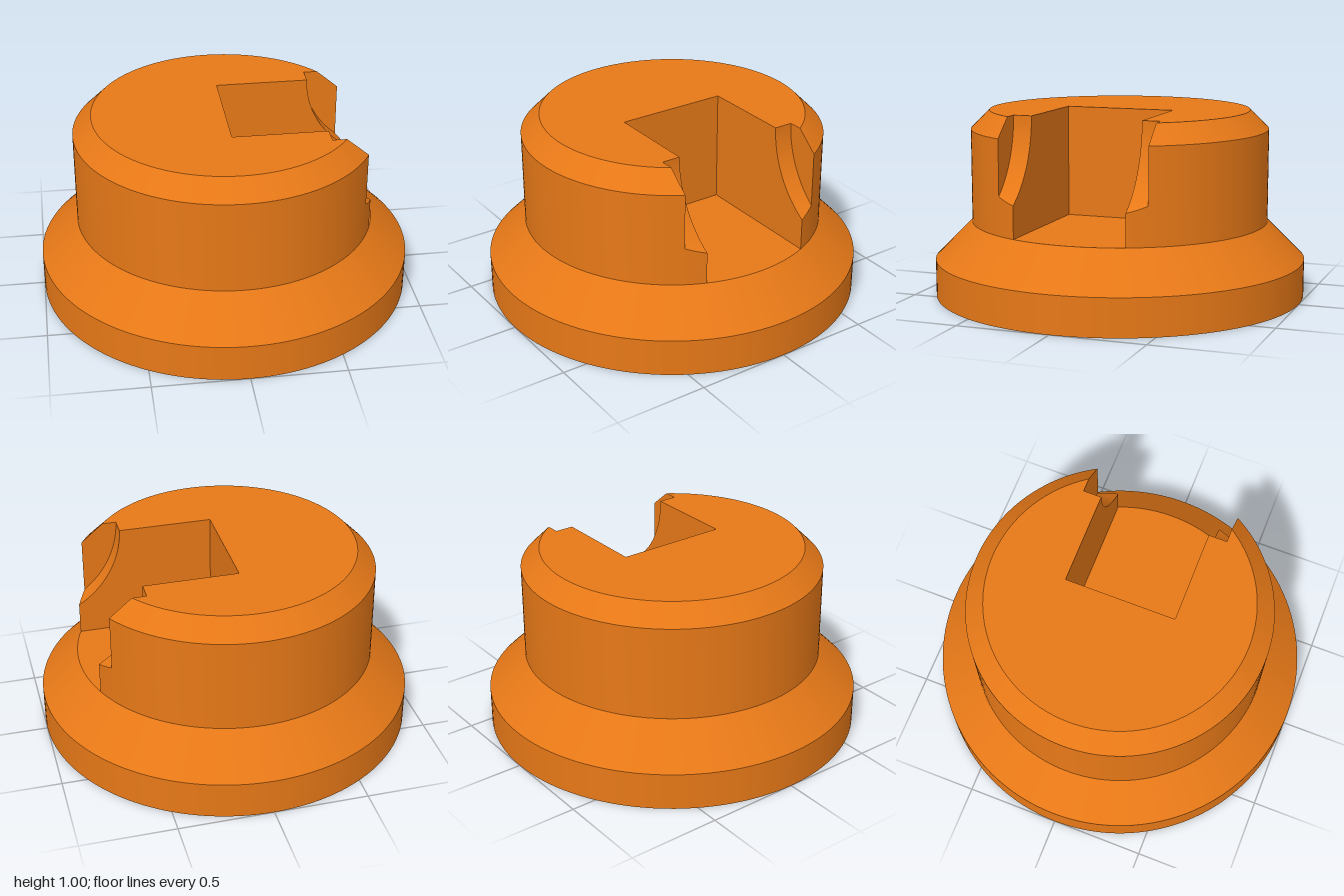
import * as THREE from 'three';

const R = 0.8, TOP_R = 0.7, FLOOR = 0.4, SHOULDER = 0.9, TOP = 1;
const SLOT = 0.3, NOTCH = 0.4, NOTCH_R = 0.5; // half widths, notch arc radius (centred on x = 1, y = 1)
const SEG = 64, CHAMFER_ROWS = 6;

const rimX = (z, r = R) => Math.sqrt(r * r - z * z);
const arcAngle = (x) => Math.PI + Math.acos((1 - x) / NOTCH_R);
const arcY = (x) => 1 + NOTCH_R * Math.sin(arcAngle(x));
const lerp = THREE.MathUtils.lerp;

// Surface from fn(u, v) -> [x, y, z]; its front faces along du x dv
function grid(nu, nv, fn) {
  const pos = [], index = [];
  for (let i = 0; i <= nu; i++) {
    for (let j = 0; j <= nv; j++) {
      pos.push(...fn(i / nu, j / nv));
      if (i < nu && j < nv) {
        const a = i * (nv + 1) + j, b = a + nv + 1;
        index.push(a, b, b + 1, a, b + 1, a + 1);
      }
    }
  }
  const g = new THREE.BufferGeometry();
  g.setAttribute('position', new THREE.Float32BufferAttribute(pos, 3));
  g.setIndex(index);
  g.computeVertexNormals();
  return g;
}

// Copy mirrored in z, with the triangle order turned back outward
function mirrorZ(geometry) {
  const g = geometry.clone().scale(1, 1, -1);
  const idx = Array.from(g.index.array);
  for (let i = 0; i < idx.length; i += 3) [idx[i + 1], idx[i + 2]] = [idx[i + 2], idx[i + 1]];
  g.setIndex(idx);
  return g;
}

// Round wall between two heights, left open across the notch width on +x
function openWall(r0, y0, r1, y1, rows) {
  return grid(rows, SEG * 2, (u, v) => {
    const r = lerp(r0, r1, u), a = Math.asin(NOTCH / r);
    const t = lerp(a, 2 * Math.PI - a, v);
    return [r * Math.cos(t), lerp(y0, y1, u), r * Math.sin(t)];
  });
}

export function createModel() {
  const model = new THREE.Group();
  model.name = 'slottedKnob';
  const material = new THREE.MeshStandardMaterial({ color: 0xe67817 });
  const add = (name, geometry, parent = model) => {
    const mesh = new THREE.Mesh(geometry, material);
    mesh.name = name;
    parent.add(mesh);
  };

  // Flange: one lathe per profile segment keeps the edges sharp
  const flange = new THREE.Group();
  flange.name = 'flange';
  model.add(flange);
  const profile = [[0, 0], [1, 0], [1, 0.2], [R, FLOOR], [0, FLOOR]].map((p) => new THREE.Vector2(...p));
  ['flangeBottom', 'flangeRim', 'flangeSlope', 'slotFloor'].forEach((name, i) =>
    add(name, new THREE.LatheGeometry(profile.slice(i, i + 2), SEG * 2), flange));

  // Upper body wall and chamfer
  add('bodyWall', openWall(R, FLOOR, R, SHOULDER, 1));
  add('bodyChamfer', openWall(R, SHOULDER, TOP_R, TOP, CHAMFER_ROWS));

  // Top face with the stepped slot cut out
  const a = Math.asin(NOTCH / TOP_R);
  const top = new THREE.Shape();
  top.absarc(0, 0, TOP_R, a, 2 * Math.PI - a, false);
  [[0.5, -NOTCH], [0.5, -SLOT], [0, -SLOT], [0, SLOT], [0.5, SLOT], [0.5, NOTCH]]
    .forEach((p) => top.lineTo(...p));
  add('topFace', new THREE.ShapeGeometry(top, SEG).rotateX(-Math.PI / 2).translate(0, TOP, 0));

  // Inner end of the slot
  add('slotEnd', grid(1, 1, (u, v) => [0, lerp(FLOOR, TOP, u), lerp(-SLOT, SLOT, v)]));

  // Slot cheek, cut back by the notch arc
  const lipX = rimX(SLOT);
  const cheek = new THREE.Shape();
  cheek.moveTo(0, FLOOR);
  cheek.lineTo(lipX, FLOOR);
  cheek.lineTo(lipX, arcY(lipX));
  cheek.absarc(1, 1, NOTCH_R, arcAngle(lipX), Math.PI, true);
  cheek.lineTo(0, TOP);

  // Notch side wall, ending at the body wall and chamfer
  const sideX = rimX(NOTCH);
  const side = new THREE.Shape();
  side.moveTo(0.5, TOP);
  side.absarc(1, 1, NOTCH_R, Math.PI, arcAngle(sideX), false);
  for (let i = 0; i <= CHAMFER_ROWS; i++) {
    const t = i / CHAMFER_ROWS;
    side.lineTo(rimX(NOTCH, lerp(R, TOP_R, t)), lerp(SHOULDER, TOP, t));
  }

  const sideParts = {
    SlotCheek: new THREE.ShapeGeometry(cheek, 16).translate(0, 0, -SLOT),
    NotchSide: new THREE.ShapeGeometry(side, 16).translate(0, 0, -NOTCH),
    // Curved notch floor
    NotchFloor: grid(8, 32, (u, v) => {
      const z = lerp(-NOTCH, -SLOT, u), t = lerp(Math.PI, arcAngle(rimX(z)), v);
      return [1 + NOTCH_R * Math.cos(t), 1 + NOTCH_R * Math.sin(t), z];
    }),
    // Strip of body wall left below the notch
    NotchLip: grid(1, 8, (u, v) => {
      const z = lerp(-NOTCH, -SLOT, v), x = rimX(z);
      return [x, lerp(FLOOR, arcY(x), u), z];
    }),
  };
  for (const [name, geometry] of Object.entries(sideParts)) {
    add('back' + name, geometry);
    add('front' + name, mirrorZ(geometry));
  }
  return model;
}
